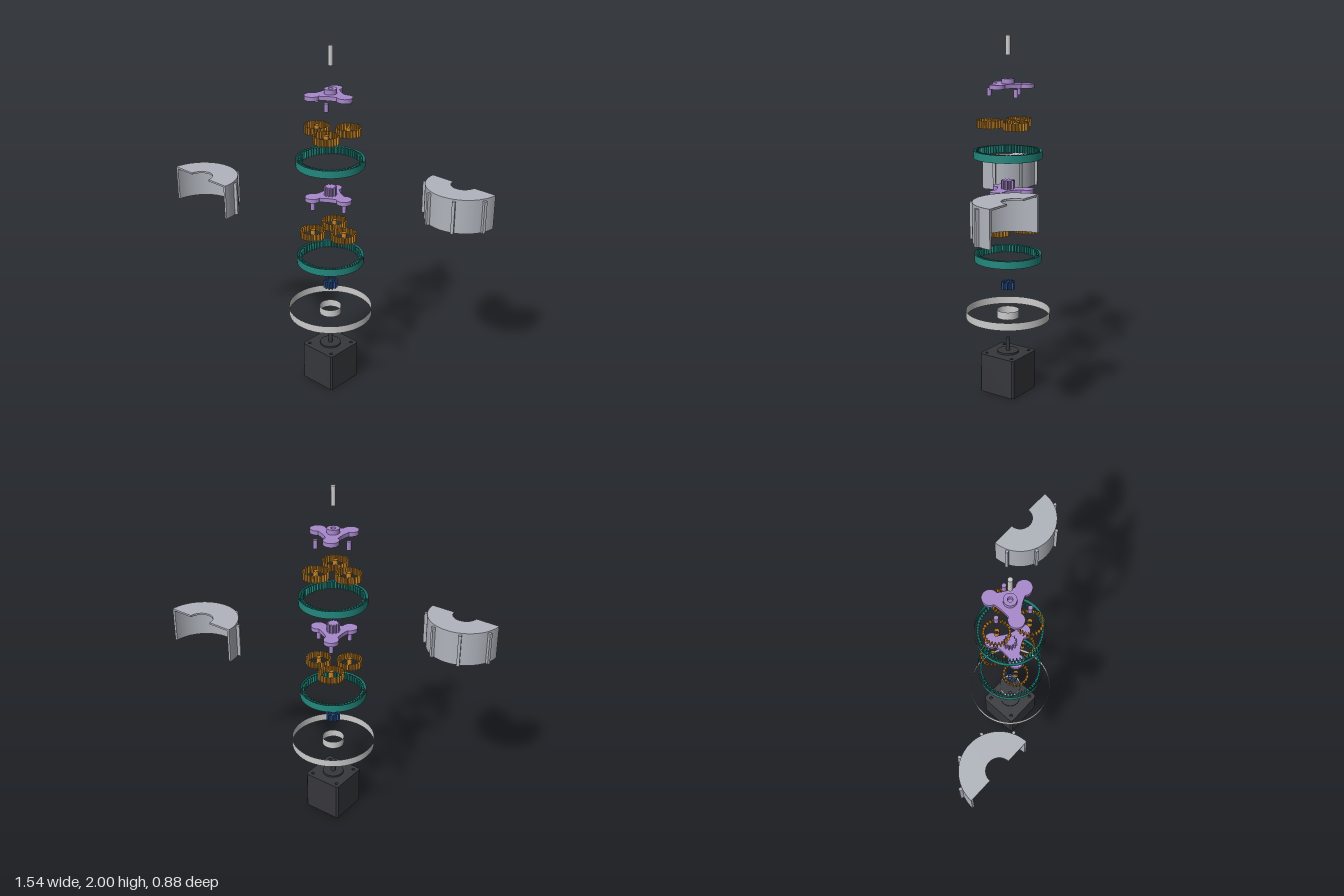
import * as THREE from 'three';

const TAU = Math.PI * 2;
const mat = (color) => new THREE.MeshStandardMaterial({ color, side: THREE.DoubleSide });
const steel = mat(0xcccccc), shell = mat(0xb0b4bc), dark = mat(0x36373b), purple = mat(0xa888cc);
const orange = mat(0xc8862a), teal = mat(0x22887e), blue = mat(0x2c5796);

function add(parent, name, geometry, material, x = 0, y = 0, z = 0) {
  const mesh = new THREE.Mesh(geometry, material);
  mesh.name = name;
  mesh.position.set(x, y, z);
  parent.add(mesh);
  return mesh;
}

// Upright cylinder between two heights; open = wall only
function cyl(parent, name, r, y0, y1, material, x = 0, z = 0, open = false) {
  const g = new THREE.CylinderGeometry(r, r, y1 - y0, r > 0.1 ? 64 : 32, 1, open);
  return add(parent, name, g, material, x, (y0 + y1) / 2, z);
}

// Plan outline extruded upwards between two heights
function slab(parent, name, shape, y0, y1, material) {
  const g = new THREE.ExtrudeGeometry(shape, { depth: y1 - y0, bevelEnabled: false, curveSegments: 32 });
  return add(parent, name, g.rotateX(-Math.PI / 2), material, 0, y0, 0);
}

// Trapezoid-toothed outline alternating between root and tip radius
function toothOutline(teeth, root, tip) {
  const pts = [];
  for (let i = 0; i < teeth; i++) {
    [[-0.3, root], [-0.12, tip], [0.12, tip], [0.3, root]].forEach(([t, r]) => {
      const a = (i + t) / teeth * TAU;
      pts.push(new THREE.Vector2(Math.cos(a) * r, Math.sin(a) * r));
    });
  }
  return pts;
}

// Flat-shaded wall following a closed outline, without end faces
function toothWall(outline, h) {
  const v = [];
  outline.forEach((p, i) => {
    const q = outline[(i + 1) % outline.length];
    v.push(p.x, 0, -p.y, q.x, 0, -q.y, q.x, h, -q.y);
    v.push(p.x, 0, -p.y, q.x, h, -q.y, p.x, h, -p.y);
  });
  const g = new THREE.BufferGeometry();
  g.setAttribute('position', new THREE.Float32BufferAttribute(v, 3));
  g.computeVertexNormals();
  return g;
}

function openGear(parent, name, teeth, root, tip, bore, y0, h, material, x = 0, z = 0) {
  const gear = new THREE.Group();
  gear.name = name;
  gear.position.set(x, y0, z);
  add(gear, name + 'Teeth', toothWall(toothOutline(teeth, root, tip), h), material);
  cyl(gear, name + 'Bore', bore, 0, h, material, 0, 0, true);
  parent.add(gear);
}

// Three places on a circle of radius 0.1, starting at the given angle
const trio = (start) => [0, 1, 2].map((k) => {
  const a = start + k * TAU / 3;
  return [0.1 * Math.cos(a), 0.1 * Math.sin(a)];
});

function planets(parent, y, start) {
  trio(start).forEach(([x, z]) =>
    openGear(parent, 'planetGear', 24, 0.06, 0.072, 0.014, y, 0.043, orange, x, z));
}

// Three-lobed plate
function carrierShape() {
  const s = new THREE.Shape(), spread = 2.27;
  for (let k = 0; k < 3; k++) {
    const a = k * TAU / 3, b = a + TAU / 6, next = a + TAU / 3;
    s.absarc(0.1 * Math.cos(a), 0.1 * Math.sin(a), 0.042, a - spread, a + spread, false);
    s.quadraticCurveTo(0.055 * Math.cos(b), 0.055 * Math.sin(b),
      0.1 * Math.cos(next) + 0.042 * Math.cos(next - spread),
      0.1 * Math.sin(next) + 0.042 * Math.sin(next - spread));
  }
  return s;
}

function carrier(parent, name, y, pinBottom, pinStart) {
  const g = new THREE.Group();
  g.name = name;
  slab(g, 'carrierPlate', carrierShape(), y, y + 0.023, purple);
  trio(pinStart).forEach(([x, z]) => cyl(g, 'carrierPin', 0.012, pinBottom, y, purple, x, z));
  parent.add(g);
  return g;
}

// Half annulus lying towards +z
function halfRing(outer, inner) {
  const s = new THREE.Shape();
  s.absarc(0, 0, outer, Math.PI, TAU, false);
  s.absarc(0, 0, inner, TAU, Math.PI, true);
  return s;
}

function housingHalf(name) {
  const g = new THREE.Group();
  g.name = name;
  slab(g, 'housingWall', halfRing(0.205, 0.191), 1.062, 1.245, shell);
  slab(g, 'housingTop', halfRing(0.205, 0.068), 1.245, 1.255, shell);
  for (let k = 0; k < 4; k++) {
    const a = (k + 0.5) * Math.PI / 4;
    const rib = add(g, 'housingRib', new THREE.BoxGeometry(0.022, 0.183, 0.016), shell,
      0.211 * Math.cos(a), 1.1535, 0.211 * Math.sin(a));
    rib.rotation.y = -a;
  }
  return g;
}

function motor(parent) {
  const g = new THREE.Group();
  g.name = 'motor';
  const w = 0.115, c = 0.105;
  const corners = [[w, -c], [w, c], [c, w], [-c, w], [-w, c], [-w, -c], [-c, -w], [c, -w]];
  const outline = () => new THREE.Shape(corners.map(([x, y]) => new THREE.Vector2(x, y)));
  slab(g, 'motorBody', outline(), 0, 0.2, dark);
  // Face plate with four screw holes
  const face = outline();
  for (const x of [-0.085, 0.085]) for (const y of [-0.085, 0.085])
    face.holes.push(new THREE.Path().absarc(x, y, 0.009, 0, TAU, true));
  slab(g, 'motorFace', face, 0.2, 0.225, dark);
  cyl(g, 'motorBoss', 0.06, 0.225, 0.235, dark);
  cyl(g, 'motorShaft', 0.0125, 0.235, 0.31, dark);
  parent.add(g);
}

export function createModel() {
  const model = new THREE.Group();
  model.name = 'explodedGearbox';
  motor(model);

  // Adapter ring: outer and inner walls
  cyl(model, 'adapterOuterWall', 0.237, 0.434, 0.478, steel, 0, 0, true);
  cyl(model, 'adapterInnerWall', 0.062, 0.434, 0.478, steel, 0, 0, true);

  openGear(model, 'sunGear', 12, 0.028, 0.04, 0.0125, 0.6, 0.043, blue);

  // Two ring gears
  for (const y of [0.766, 1.343])
    openGear(model, 'ringGear', 60, 0.174, 0.161, 0.187, y, 0.043, teal);

  // Lower stage
  planets(model, 0.932, 0);
  const lower = carrier(model, 'lowerCarrier', 1.15, 1.094, 0);
  slab(lower, 'carrierSunGear', new THREE.Shape(toothOutline(12, 0.027, 0.037)), 1.173, 1.221, purple);

  // Upper stage
  planets(model, 1.507, Math.PI);
  const upper = carrier(model, 'upperCarrier', 1.723, 1.677, Math.PI);
  const hub = new THREE.Shape().absarc(0, 0, 0.034, 0, TAU, false);
  hub.holes.push(new THREE.Path().absarc(0, 0, 0.0135, 0, TAU, true));
  slab(upper, 'carrierHub', hub, 1.746, 1.772, purple);

  cyl(model, 'outputShaft', 0.0125, 1.895, 2, steel);

  // Housing halves, moved apart
  const left = housingHalf('leftHousing');
  left.position.set(0.5625, 0, -0.44);
  const right = housingHalf('rightHousing');
  right.position.set(-0.5625, 0, 0.44);
  right.rotation.y = Math.PI;
  model.add(left, right);
  return model;
}
